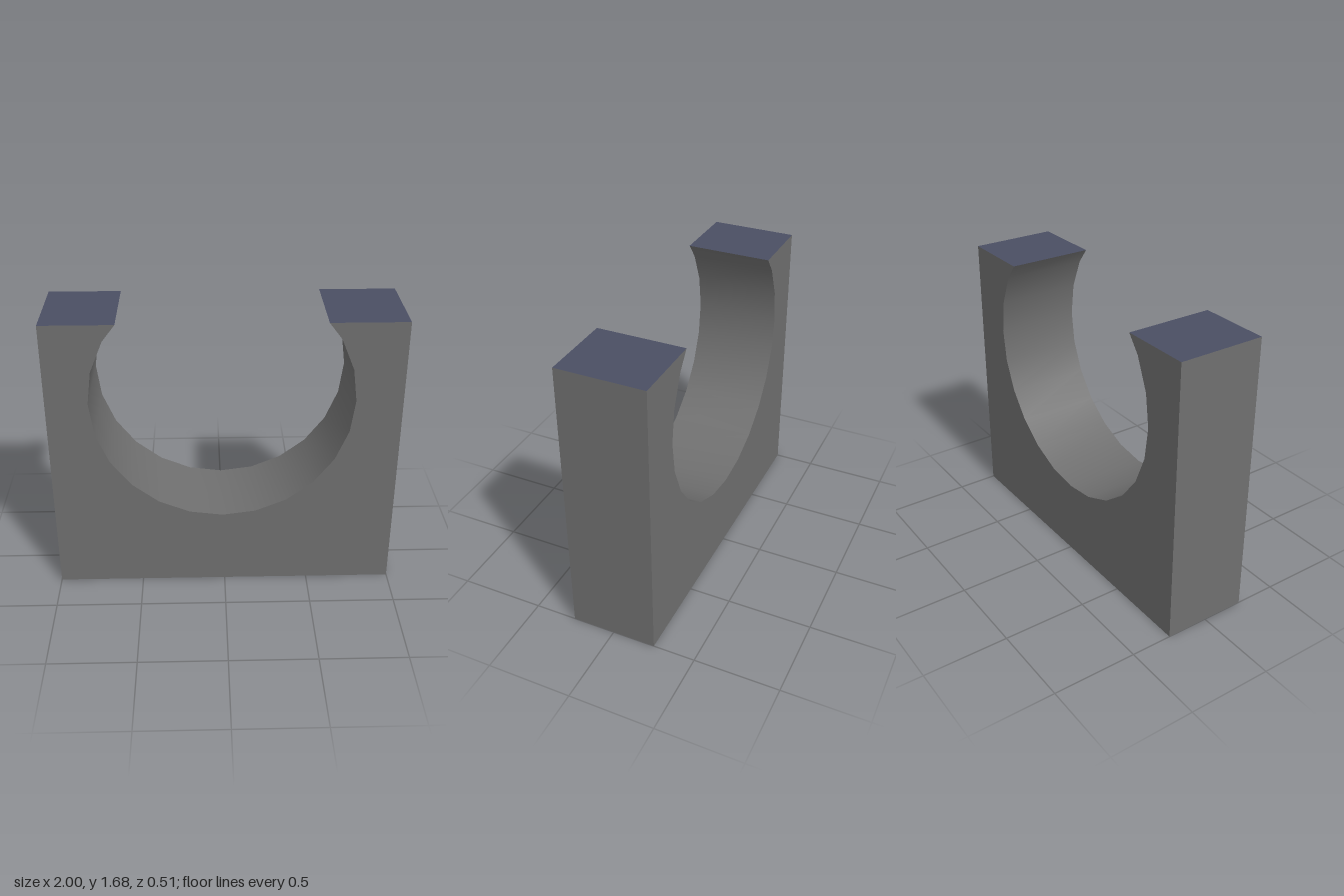
import * as THREE from 'three';
import { toCreasedNormals } from 'three/addons/utils/BufferGeometryUtils.js';

const TOP = 1.679, DEPTH = 0.507;
const BORE = { x: -0.013, y: 1.209, r: 0.747, sides: 24 };

// Block outline with an open, 24-sided circular cradle cut through the top
function cradleShape() {
  const at = (i) => {
    const a = (i / BORE.sides) * Math.PI * 2;
    return new THREE.Vector2(BORE.x + BORE.r * Math.cos(a), BORE.y + BORE.r * Math.sin(a));
  };
  // Point where the bore edge between corners i and j meets the top plane
  const cut = (i, j) => {
    const a = at(i), b = at(j);
    return a.clone().lerp(b, (TOP - a.y) / (b.y - a.y));
  };
  const points = [
    new THREE.Vector2(-1, TOP), new THREE.Vector2(-1, 0),
    new THREE.Vector2(1, 0), new THREE.Vector2(1, TOP),
    cut(2, 3),
  ];
  for (let i = 2; i >= -14; i--) points.push(at(i));
  points.push(cut(10, 9));
  return new THREE.Shape(points);
}

// Give the flat top faces their own material slot
function markTopFaces(geometry) {
  const p = geometry.attributes.position;
  geometry.clearGroups();
  for (let i = 0; i < p.count; i += 3) {
    const isTop = [0, 1, 2].every((k) => Math.abs(p.getY(i + k) - TOP) < 1e-4);
    geometry.addGroup(i, 3, isTop ? 1 : 0);
  }
}

export function createModel() {
  const group = new THREE.Group();
  group.name = 'cradleBlock';

  let geometry = new THREE.ExtrudeGeometry(cradleShape(), { depth: DEPTH, bevelEnabled: false });
  geometry.translate(0, 0, -DEPTH / 2);
  // Smooth bore, sharp block edges
  geometry = toCreasedNormals(geometry, THREE.MathUtils.degToRad(30));
  markTopFaces(geometry);

  const darkGrey = new THREE.MeshStandardMaterial({ color: 0x6f6f6f });
  const slateBlue = new THREE.MeshStandardMaterial({ color: 0x4a4e63 });
  const block = new THREE.Mesh(geometry, [darkGrey, slateBlue]);
  block.name = 'block';
  group.add(block);
  return group;
}
